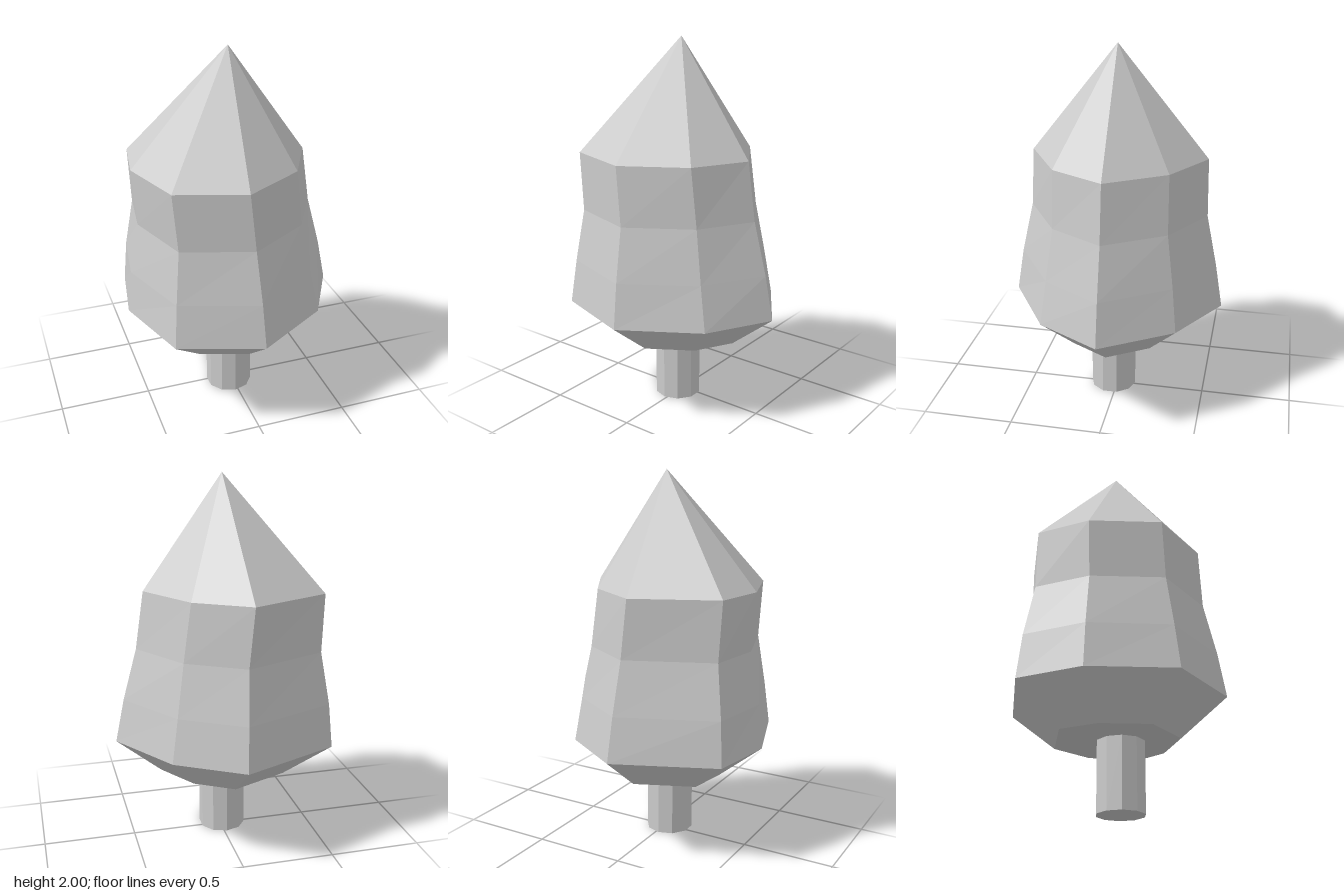
import * as THREE from 'three';

// Crown cross-sections from bottom to top: eight [x, z] corners, starting at the back and passing the left side
const rim = [[0, -0.585], [0.345, -0.375], [0.583, 0], [0.395, 0.34], [0, 0.582], [-0.44, 0.435], [-0.585, 0], [-0.527, -0.36]];
const rings = [
  { y: 0.375, pts: rim.map(([x, z]) => [x * 0.58, z * 0.58]) },
  { y: 0.573, pts: rim },
  { y: 0.81, pts: [[-0.01, -0.545], [0.31, -0.35], [0.535, 0], [0.35, 0.315], [-0.01, 0.545], [-0.42, 0.405], [-0.56, 0], [-0.51, -0.34]] },
  { y: 1.09, pts: [[-0.025, -0.486], [0.268, -0.313], [0.46, 0], [0.3, 0.284], [-0.025, 0.484], [-0.39, 0.363], [-0.51, 0], [-0.47, -0.3]] },
  { y: 1.4, pts: [[-0.057, -0.477], [0.225, -0.307], [0.415, 0], [0.265, 0.285], [-0.057, 0.475], [-0.415, 0.355], [-0.532, 0], [-0.486, -0.29]] },
];

function crownGeometry() {
  const n = rim.length;
  const positions = [];
  const index = [];
  for (const { y, pts } of rings) for (const [x, z] of pts) positions.push(x, y, z);
  const base = positions.length / 3;
  const tip = base + 1;
  positions.push(0, rings[0].y, 0, -0.01, 2, 0);

  for (let i = 0; i < n; i++) {
    const j = (i + 1) % n;
    // Side bands
    for (let r = 0; r < rings.length - 1; r++) {
      const lo = r * n;
      const hi = lo + n;
      index.push(lo + j, lo + i, hi + i, lo + j, hi + i, hi + j);
    }
    // Pointed top and flat underside
    const top = (rings.length - 1) * n;
    index.push(top + j, top + i, tip);
    index.push(i, j, base);
  }

  const geometry = new THREE.BufferGeometry();
  geometry.setAttribute('position', new THREE.Float32BufferAttribute(positions, 3));
  geometry.setIndex(index);
  const faceted = geometry.toNonIndexed();
  faceted.computeVertexNormals();
  return faceted;
}

export function createModel() {
  const tree = new THREE.Group();
  tree.name = 'tree';
  const material = new THREE.MeshStandardMaterial({ color: 0xcccccc, flatShading: true });

  const crown = new THREE.Mesh(crownGeometry(), material);
  crown.name = 'crown';
  tree.add(crown);

  // Ten-sided trunk, slightly off centre
  const trunkHeight = 0.38;
  const trunk = new THREE.Mesh(new THREE.CylinderGeometry(0.128, 0.128, trunkHeight, 10), material);
  trunk.name = 'trunk';
  trunk.position.set(-0.016, trunkHeight / 2, 0.025);
  tree.add(trunk);

  return tree;
}
